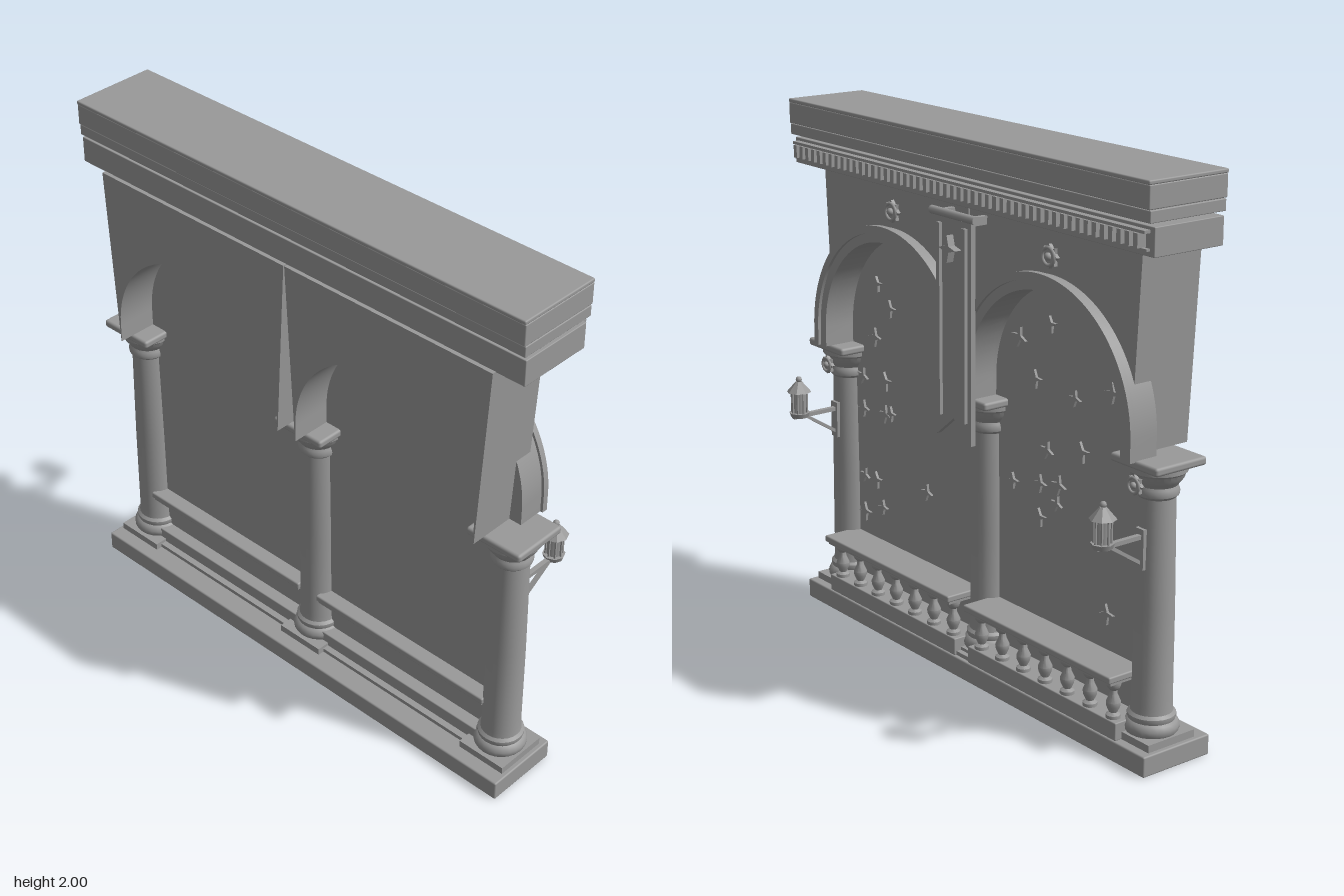
import * as THREE from 'three';
import { toCreasedNormals } from 'three/addons/utils/BufferGeometryUtils.js';
import { RoundedBoxGeometry } from 'three/addons/geometries/RoundedBoxGeometry.js';

const stone = new THREE.MeshStandardMaterial({ color: 0x999999 });
stone.name = 'stone';

const ARCH_X = 0.445, ARCH_Y = 1.14, ARCH_R = 0.4, COLUMN_Z = 0.06, COLUMN_X = 0.885;

export function createModel() {
  const model = new THREE.Group();
  model.name = 'arcade';

  const add = (name, geometry, x = 0, y = 0, z = 0, parent = model) => {
    const mesh = new THREE.Mesh(geometry, stone);
    mesh.name = name;
    mesh.position.set(x, y, z);
    parent.add(mesh);
    return mesh;
  };
  // Box given by its limits on each axis
  const block = (name, x0, x1, y0, y1, z0, z1, bevel = 0, parent = model) => {
    const s = [x1 - x0, y1 - y0, z1 - z0];
    const g = bevel ? new RoundedBoxGeometry(...s, 2, bevel) : new THREE.BoxGeometry(...s);
    return add(name, g, (x0 + x1) / 2, (y0 + y1) / 2, (z0 + z1) / 2, parent);
  };
  const lathe = (points, sides = 24) => toCreasedNormals(
    new THREE.LatheGeometry(points.map(p => new THREE.Vector2(...p)), sides), 0.6);
  const extrude = (shape, depth, crease = 0.5) => toCreasedNormals(
    new THREE.ExtrudeGeometry(shape, { depth, bevelEnabled: false, curveSegments: 32 }), crease);

  // Outline of a round arch standing on a straight foot
  const archPath = (r, foot, Type = THREE.Shape) => {
    const p = new Type();
    p.moveTo(-r, foot);
    p.lineTo(r, foot);
    p.lineTo(r, ARCH_Y);
    p.absarc(0, ARCH_Y, r, 0, Math.PI, false);
    p.lineTo(-r, foot);
    return p;
  };
  // Open arch band between two radii
  const archBand = (inner, outer, foot) => {
    const s = new THREE.Shape();
    s.moveTo(outer, foot);
    s.lineTo(outer, ARCH_Y);
    s.absarc(0, ARCH_Y, outer, 0, Math.PI, false);
    s.lineTo(-outer, foot);
    s.lineTo(-inner, foot);
    s.lineTo(-inner, ARCH_Y);
    s.absarc(0, ARCH_Y, inner, Math.PI, 0, true);
    s.lineTo(inner, foot);
    return s;
  };
  const starShape = (r, points = 4, inner = 0.3) => new THREE.Shape(
    Array.from({ length: points * 2 }, (_, i) => {
      const a = i * Math.PI / points, q = i % 2 ? r * inner : r;
      return new THREE.Vector2(Math.sin(a) * q, Math.cos(a) * q);
    }));

  // Base and entablature
  block('plinth', -1, 1, 0, 0.075, -0.075, 0.22, 0.006);
  block('plinthStep', -0.83, 0.83, 0.07, 0.09, -0.06, 0.14);
  block('architrave', -1, 1, 1.757, 1.853, -0.085, 0.205, 0.003);
  block('lowerCornice', -1, 1, 1.866, 1.906, -0.105, 0.212, 0.003);
  block('upperCornice', -1, 1, 1.908, 1.986, -0.11, 0.217, 0.004);
  block('topSlab', -1, 1, 1.985, 2, -0.112, 0.22, 0.005);

  // Dentil course along the back
  block('dentilLedge', -0.98, 0.98, 1.832, 1.842, -0.11, -0.08);
  block('dentilSill', -0.98, 0.98, 1.775, 1.783, -0.1, -0.08);
  for (let i = 0; i < 50; i++) {
    const x = -0.95 + i * 1.9 / 49;
    block('dentil', x - 0.01, x + 0.01, 1.785, 1.832, -0.12, -0.08);
  }

  // Columns
  const shaft = lathe([[0, 0.1], [0.088, 0.1], [0.094, 0.11], [0.095, 0.125], [0.088, 0.14], [0.08, 0.146],
    [0.083, 0.155], [0.083, 0.165], [0.073, 0.175], [0.07, 0.2], [0.068, 0.55], [0.062, 0.93],
    [0.072, 0.94], [0.074, 0.953], [0.07, 0.964], [0.067, 0.972], [0.076, 0.985], [0.088, 1.0],
    [0.092, 1.015], [0.1, 1.022], [0.1, 1.042], [0, 1.042]]);
  for (const x of [-COLUMN_X, 0, COLUMN_X]) {
    block('columnFoot', x - 0.098, x + 0.098, 0.07, 0.102, COLUMN_Z - 0.1, COLUMN_Z + 0.105);
    add('column', shaft, x, 0, COLUMN_Z);
    block('abacus', x - 0.113, x + 0.113, 1.04, 1.07, COLUMN_Z - 0.11, COLUMN_Z + 0.11, 0.01);
  }

  // Wall half: tapered, pierced by an arch
  const wall = new THREE.Shape();
  wall.moveTo(-0.403, 1.07);
  wall.lineTo(-ARCH_R, 1.07);
  wall.lineTo(-ARCH_R, ARCH_Y);
  wall.absarc(0, ARCH_Y, ARCH_R, Math.PI, 0, true);
  wall.lineTo(ARCH_R, 1.07);
  wall.lineTo(0.403, 1.07);
  wall.lineTo(0.443, 1.76);
  wall.lineTo(-0.443, 1.76);
  const wallGeo = extrude(wall, 0.25);
  const ringGeo = extrude(archBand(ARCH_R, 0.452, 1.07), 0.11);
  const rimGeo = extrude(archBand(0.435, 0.462, 1.07), 0.022);
  const panelGeo = extrude(archPath(0.402, 0.08), 0.012);
  const balusterGeo = lathe([[0, 0.138], [0.026, 0.138], [0.026, 0.152], [0.014, 0.16], [0.024, 0.182],
    [0.026, 0.198], [0.014, 0.225], [0.012, 0.24], [0.022, 0.25], [0.026, 0.262], [0.026, 0.278]], 12);
  const rosetteGeo = extrude(starShape(0.042, 8, 0.7), 0.016, 0.1);

  const rosette = (x, y, z, scale) => {
    const g = new THREE.Group();
    g.name = 'rosette';
    g.position.set(x, y, z);
    g.scale.setScalar(scale);
    add('petals', rosetteGeo, 0, 0, -0.016, g);
    add('rosetteRing', new THREE.TorusGeometry(0.03, 0.006, 8, 24), 0, 0, -0.017, g);
    add('rosetteHeart', new THREE.SphereGeometry(0.014, 12, 8), 0, 0, -0.018, g);
    model.add(g);
  };

  for (const side of [-1, 1]) {
    const cx = side * ARCH_X;
    add('wall', wallGeo, cx, 0, -0.03);
    add('archRing', ringGeo, cx, 0, -0.07);
    add('archRim', rimGeo, cx, 0, -0.082);
    add('backPanel', panelGeo, cx, 0, 0.054);
    rosette(cx, 1.655, -0.028, 1);

    // Bench with balusters
    block('benchSill', cx - 0.405, cx + 0.405, 0.075, 0.14, -0.07, 0.115, 0.004);
    block('benchSeatUnder', cx - 0.392, cx + 0.392, 0.274, 0.292, -0.083, 0.117);
    block('benchSeat', cx - 0.4, cx + 0.4, 0.285, 0.31, -0.096, 0.125, 0.006);
    for (let i = -3; i <= 3; i++) add('baluster', balusterGeo, cx + i * 0.12, 0, -0.04);

    // Lantern on a bracket
    const x = side * COLUMN_X, z = -0.172;
    rosette(x, 0.985, -0.03, 0.85);
    block('lanternArm', x - 0.009, x + 0.009, 0.795, 0.81, -0.2, 0.01);
    const strut = add('lanternStrut', new THREE.BoxGeometry(0.014, 0.165, 0.012), x, 0.752, -0.073);
    strut.rotation.x = -Math.atan2(0.14, 0.09);
    block('bracketPlate', x - 0.02, x + 0.02, 0.69, 0.83, -0.014, 0.01);
    add('lanternBase', new THREE.CylinderGeometry(0.04, 0.034, 0.018, 8), x, 0.809, z);
    add('lanternBody', new THREE.CylinderGeometry(0.026, 0.026, 0.09, 8), x, 0.86, z);
    for (let i = 0; i < 8; i++) {
      const a = i * Math.PI / 4;
      add('lanternBar', new THREE.BoxGeometry(0.006, 0.09, 0.006), x + Math.sin(a) * 0.029, 0.86, z + Math.cos(a) * 0.029);
    }
    const roof = add('lanternRoof', new THREE.CylinderGeometry(0.012, 0.047, 0.04, 8).toNonIndexed(), x, 0.92, z);
    roof.geometry.computeVertexNormals();
    add('lanternFinial', new THREE.SphereGeometry(0.012, 8, 6), x, 0.948, z);
  }

  // Stars scattered over the back panels
  const starGeo = extrude(starShape(0.038), 0.012, 0.1);
  const stars = [[0.67, 1.33], [0.59, 1.25], [0.69, 1.12], [0.255, 1.23], [0.775, 0.95], [0.625, 0.96],
    [0.59, 0.84], [0.77, 0.82], [0.63, 0.83], [0.77, 0.55], [0.69, 0.55], [0.77, 0.4], [0.65, 0.45],
    [0.365, 0.59], [-0.18, 1.31], [-0.35, 1.39], [-0.27, 1.18], [-0.67, 1.225], [-0.48, 1.16],
    [-0.335, 0.94], [-0.52, 0.98], [-0.15, 0.78], [-0.3, 0.81], [-0.4, 0.83], [-0.39, 0.76],
    [-0.3, 0.685], [-0.66, 0.44]];
  stars.forEach(([x, y], i) => {
    const star = add('star', starGeo, x, y, 0.044);
    star.rotation.z = (i % 5 - 2) * 0.12;
    star.scale.set(0.8 + (i % 3) * 0.1, 0.8 + (i % 3) * 0.1, 1);
  });

  // Swallow-tailed banner hung from a rod
  const banner = new THREE.Shape([[-0.1, 1.71], [-0.1, 0.92], [-0.05, 0.96], [0, 1.0], [0.05, 0.96],
    [0.1, 0.92], [0.1, 1.71]].map(p => new THREE.Vector2(...p)));
  add('banner', extrude(banner, 0.02), 0, 0, -0.1);
  for (const s of [-1, 1]) {
    block('bannerStripe', s * 0.072 - 0.009, s * 0.072 + 0.009, 1.0, 1.69, -0.113, -0.098);
    block('rodBracket', s * 0.09 - 0.01, s * 0.09 + 0.01, 1.7, 1.73, -0.1, -0.02);
  }
  const rod = add('bannerRod', new THREE.CylinderGeometry(0.015, 0.015, 0.25, 12), 0, 1.725, -0.098);
  rod.rotation.z = Math.PI / 2;
  add('bannerStar', extrude(starShape(0.048), 0.028, 0.1), 0, 1.61, -0.128);

  return model;
}
